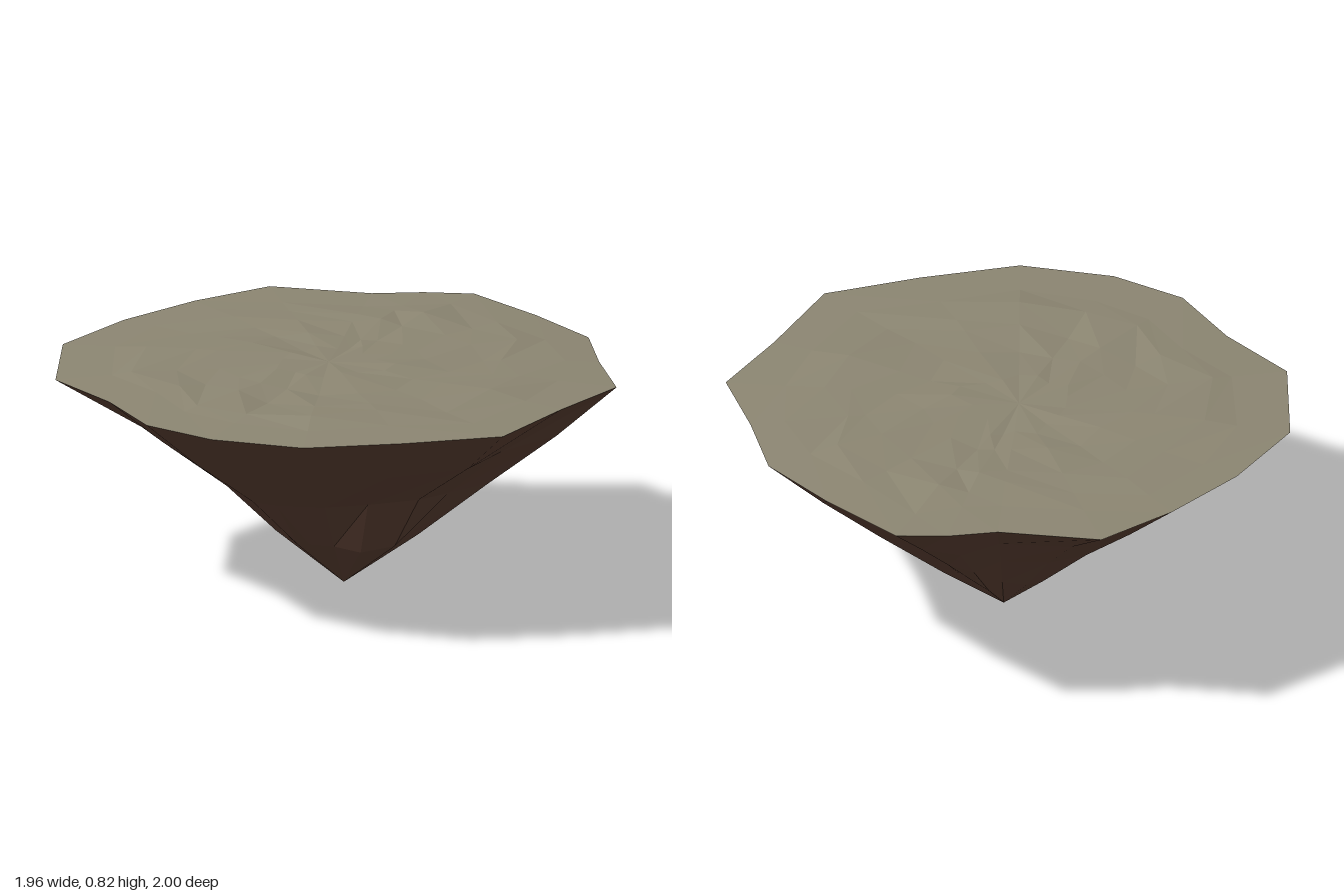
import * as THREE from 'three';

const RIM_Y = 0.795;
const TIP = [0.05, 0, 0.02];

// Rim outline as x, z, running back -> right -> front -> left
const RIM = [
  [0.03, -1], [0.36, -0.83], [0.54, -0.8], [0.71, -0.74], [0.86, -0.43],
  [0.975, -0.12], [0.94, 0.18], [0.925, 0.5], [0.67, 0.72], [0.39, 0.995],
  [0.03, 0.995], [-0.33, 0.965], [-0.62, 0.785], [-0.8, 0.56], [-0.86, 0.25],
  [-0.98, -0.06], [-0.85, -0.48], [-0.57, -0.72], [-0.27, -0.89],
];

// Rock rings below the rim: height and reach towards the rim for each column
const ROCK_RINGS = [
  [0.605, [0.7, 0.74, 0.76, 0.76, 0.74, 0.77, 0.73, 0.78, 0.73, 0.78,
    0.73, 0.74, 0.78, 0.74, 0.77, 0.7, 0.75, 0.75, 0.75]],
  [0.41, [0.46, 0.5, 0.52, 0.51, 0.49, 0.53, 0.47, 0.53, 0.48, 0.47,
    0.4, 0.46, 0.51, 0.46, 0.5, 0.44, 0.49, 0.5, 0.49]],
  [0.2, [0.235, 0.25, 0.26, 0.25, 0.24, 0.26, 0.23, 0.27, 0.25, 0.32,
    0.28, 0.24, 0.26, 0.23, 0.25, 0.235, 0.24, 0.25, 0.24]],
];

function seeded(seed) {
  return () => {
    seed = (seed * 16807) % 2147483647;
    return seed / 2147483647;
  };
}

// Faceted skin through the rings, closed by a fan to one last point
function skin(rings, end, faceUp) {
  const pos = [];
  const tri = (a, b, c) => pos.push(...a, ...(faceUp ? c : b), ...(faceUp ? b : c));
  const n = RIM.length;
  rings.forEach((ring, r) => {
    const next = rings[r + 1];
    for (let i = 0; i < n; i++) {
      const j = (i + 1) % n;
      if (!next) {
        tri(ring[i], ring[j], end);
      } else {
        tri(ring[i], ring[j], next[j]);
        tri(ring[i], next[j], next[i]);
      }
    }
  });
  const geometry = new THREE.BufferGeometry();
  geometry.setAttribute('position', new THREE.Float32BufferAttribute(pos, 3));
  geometry.computeVertexNormals();
  return geometry;
}

// Low ridges, drawn out along x
function groundHeight(x, z) {
  const ridges = Math.sin(z * 13 + x * 4) + 0.6 * Math.sin(z * 7 - x * 5 + 1);
  return 0.81 + 0.006 * ridges;
}

export function createModel() {
  const group = new THREE.Group();
  const earth = new THREE.MeshStandardMaterial({ color: 0x5c4033 });
  earth.name = 'brown earth';
  const stone = new THREE.MeshStandardMaterial({ color: 0x8c8672 });
  stone.name = 'grey stone';
  const rim = RIM.map(([x, z]) => [x, RIM_Y, z]);

  // Tapering underside
  const rockRings = ROCK_RINGS.map(([y, reach]) => RIM.map(([x, z], i) => [
    TIP[0] + (x - TIP[0]) * reach[i],
    y + 0.015 * Math.sin(i * 2.3),
    TIP[2] + (z - TIP[2]) * reach[i],
  ]));
  const underside = new THREE.Mesh(skin([rim, ...rockRings], TIP, false), earth);
  underside.name = 'rockUnderside';
  group.add(underside);

  // Uneven ground inside a flat margin
  const random = seeded(77);
  const groundRings = [0.83, 0.68, 0.53, 0.38, 0.2].map((scale, r) => RIM.map(([x, z]) => {
    const s = scale + (random() - 0.5) * 0.09;
    const px = x * s;
    const pz = z * s;
    const y = r === 0 ? RIM_Y + 0.003 + random() * 0.006
      : groundHeight(px, pz) + (random() - 0.5) * 0.012;
    return [px, y, pz];
  }));
  const ground = new THREE.Mesh(skin([rim, ...groundRings], [0, 0.81, 0], true), stone);
  ground.name = 'groundTop';
  group.add(ground);

  return group;
}
